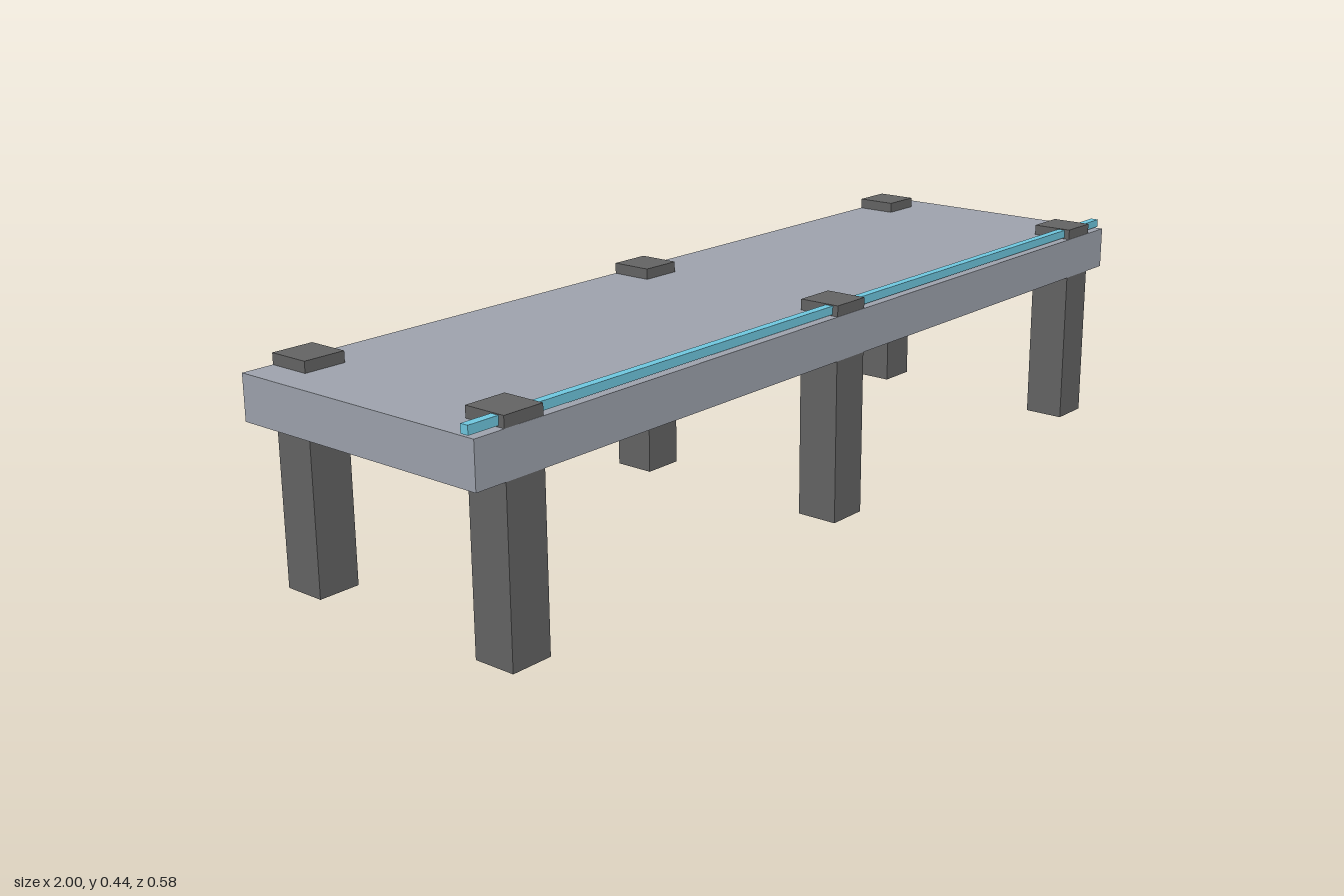
import * as THREE from 'three';

export function createModel() {
  const model = new THREE.Group();
  const deckMat = new THREE.MeshStandardMaterial({ color: 0x9ea3ad });
  const postMat = new THREE.MeshStandardMaterial({ color: 0x646464 });
  const railMat = new THREE.MeshStandardMaterial({ color: 0x6fc8e0 });

  // Box given by its size, centre x and z, and bottom height
  function addBox(name, material, [w, h, d], x, bottom, z) {
    const mesh = new THREE.Mesh(new THREE.BoxGeometry(w, h, d), material);
    mesh.name = name;
    mesh.position.set(x, bottom + h / 2, z);
    model.add(mesh);
  }

  // Deck slab
  addBox('deck', deckMat, [2, 0.089, 0.578], 0, 0.334, 0);

  // Three pairs of square posts that pass through the deck,
  // set a hair inside its long edges so the faces do not coincide
  for (const x of [-0.89, 0, 0.89]) {
    for (const side of [1, -1]) {
      addBox(side > 0 ? 'frontPost' : 'backPost', postMat,
        [0.088, 0.445, 0.088], x, 0, side * 0.2445);
    }
  }

  // Thin coloured rail along the front edge, threaded through the post tops
  addBox('rail', railMat, [2, 0.017, 0.017], 0, 0.426, 0.268);

  return model;
}
